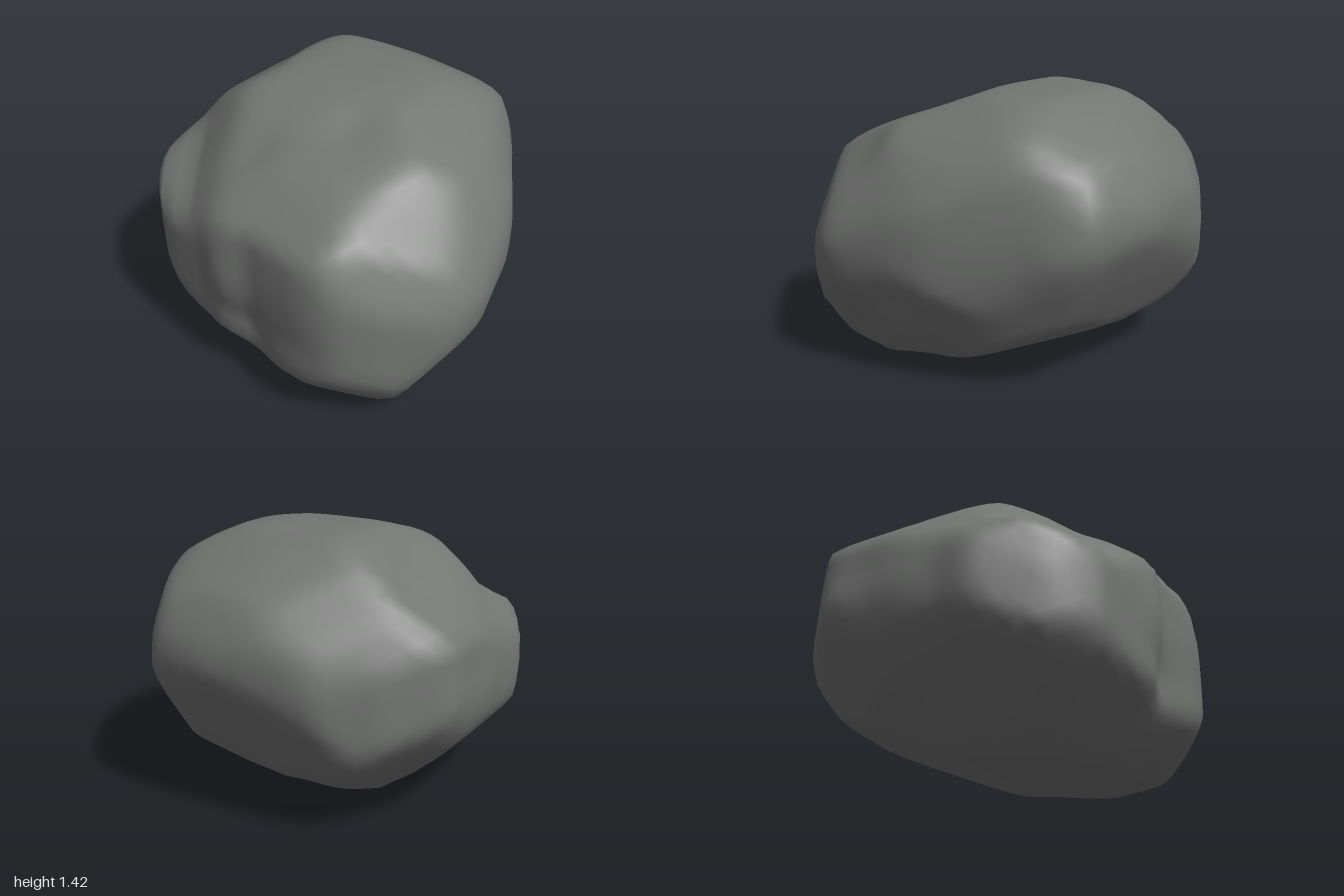
import * as THREE from 'three';
import { mergeVertices } from 'three/addons/utils/BufferGeometryUtils.js';

const CENTRE = new THREE.Vector3(0, 0.71, 0);

// A profile the stone is cut to, from a heading and elevation in degrees.
// Points are [right, up] pairs about the centre of the stone.
function profile(heading, elevation, points) {
  const h = THREE.MathUtils.degToRad(heading);
  const e = THREE.MathUtils.degToRad(elevation);
  const right = new THREE.Vector3(Math.cos(h), 0, -Math.sin(h));
  const up = new THREE.Vector3(-Math.sin(h) * Math.sin(e), Math.cos(e), -Math.cos(h) * Math.sin(e));
  return { right, up, points };
}

const PROFILES = [];

// Front
PROFILES.push(profile(0, 0, [
  [-0.1, -0.71], [0.12, -0.71], [0.4, -0.65], [0.7, -0.65], [0.78, -0.49], [0.96, -0.21], [1, -0.02], [0.93, 0.11],
  [0.84, 0.26], [0.71, 0.47], [0.58, 0.55], [0.32, 0.67], [0.1, 0.71], [-0.28, 0.71], [-0.4, 0.69], [-0.7, 0.47],
  [-0.97, 0.26], [-0.97, 0.12], [-1, -0.02], [-0.97, -0.12], [-0.92, -0.24], [-0.73, -0.48], [-0.5, -0.64], [-0.25, -0.69],
]));

// Side
PROFILES.push(profile(90, 0, [
  [0.94, 0.1], [0.92, 0.21], [0.79, 0.45], [0.6, 0.59], [0.43, 0.69], [0, 0.71], [-0.22, 0.64], [-0.42, 0.55],
  [-0.6, 0.47], [-0.88, 0.27], [-0.94, -0.02], [-0.9, -0.24], [-0.915, -0.38], [-0.89, -0.45], [-0.63, -0.69],
  [-0.23, -0.71], [0.02, -0.67], [0.15, -0.64], [0.48, -0.53], [0.6, -0.48], [0.77, -0.2],
]));

// Plan
PROFILES.push(profile(0, 90, [
  [1, -0.32], [0.95, -0.48], [0.87, -0.62], [0.78, -0.74], [0.57, -0.88], [0.4, -0.91], [0.05, -0.87], [-0.1, -0.93],
  [-0.25, -0.87], [-0.52, -0.83], [-0.8, -0.67], [-0.97, -0.36], [-0.94, -0.2], [-0.98, 0], [-0.97, 0.2], [-1, 0.41],
  [-0.78, 0.65], [-0.65, 0.72], [-0.5, 0.83], [-0.13, 0.91], [0.05, 0.94], [0.38, 0.9], [0.54, 0.78], [0.6, 0.62],
  [0.84, 0.24], [0.9, 0.05], [0.96, -0.17],
]));

// Front corner, from above
PROFILES.push(profile(35, 20, [
  [-0.04, 0.85], [0.31, 0.76], [0.61, 0.625], [0.76, 0.535], [0.85, 0.355], [0.88, 0.19], [0.84, -0.04], [0.805, -0.25],
  [0.67, -0.49], [0.55, -0.67], [0.4, -0.85], [0.21, -0.91], [-0.05, -0.84], [-0.26, -0.84], [-0.59, -0.64],
  [-0.83, -0.49], [-1, -0.31], [-1.02, -0.04], [-1.01, 0.2], [-0.8, 0.385], [-0.68, 0.55], [-0.38, 0.685], [-0.29, 0.76],
]));

// Back corner, from above
PROFILES.push(profile(215, 20, [
  [-0.88, -0.1], [-0.8, 0.31], [-0.715, 0.46], [-0.52, 0.61], [-0.37, 0.7], [0.08, 0.67], [0.505, 0.61], [0.79, 0.295],
  [1, 0.23], [1.02, 0.02], [0.985, -0.28], [0.505, -0.61], [0.295, -0.73], [-0.22, -0.67], [-0.67, -0.47],
]));

// Back corner, from below
PROFILES.push(profile(135, -20, [
  [0.16, 0.8], [-0.08, 0.77], [-0.58, 0.595], [-0.715, 0.445], [-0.91, 0.28], [-1.03, 0.02], [-1.045, -0.37],
  [-0.865, -0.61], [-0.415, -0.8], [-0.2, -0.82], [0.25, -0.775], [0.52, -0.595], [0.7, -0.535], [1.015, -0.19],
  [0.985, 0.115], [0.88, 0.325], [0.7, 0.535], [0.46, 0.715],
]));

// Local hollows and swellings: [x, y, z, radius, push]
const DENTS = [
  [0, 0.35, 0.85, 0.16, -0.05],
  [-0.2, 1.15, 0.55, 0.12, -0.05],
  [-0.65, 1.1, -0.33, 0.1, -0.04],
  [0.95, 0.4, 0, 0.15, -0.04],
  [0.55, 0.15, 0, 0.16, -0.04],
  [0.2, 1.3, 0.25, 0.15, -0.025],
];

// Distance from the centre to a profile's edge along a direction
function reach({ right, up, points }, direction) {
  const u = direction.dot(right);
  const v = direction.dot(up);
  let nearest = Infinity;
  points.forEach(([ax, ay], i) => {
    const [bx, by] = points[(i + 1) % points.length];
    const ex = bx - ax, ey = by - ay;
    const cross = u * ey - v * ex;
    if (Math.abs(cross) < 1e-9) return;
    const t = (ax * ey - ay * ex) / cross;
    const s = (ax * v - ay * u) / cross;
    if (t > 0 && s >= -1e-6 && s <= 1 + 1e-6) nearest = Math.min(nearest, t);
  });
  return nearest;
}

// The stone is the softened overlap of all profiles, then dented
function boulderGeometry() {
  const sphere = new THREE.IcosahedronGeometry(1, 15);
  sphere.deleteAttribute('normal');
  sphere.deleteAttribute('uv');
  const geometry = mergeVertices(sphere, 1e-4);
  const position = geometry.attributes.position;
  const direction = new THREE.Vector3();
  const point = new THREE.Vector3();
  const softness = 40;

  for (let i = 0; i < position.count; i++) {
    direction.fromBufferAttribute(position, i).normalize();
    let sum = 0;
    for (const p of PROFILES) sum += reach(p, direction) ** -softness;
    point.copy(CENTRE).addScaledVector(direction, (sum / 2) ** (-1 / softness));
    let push = 0;
    for (const [x, y, z, radius, amount] of DENTS) {
      const d = Math.hypot(point.x - x, point.y - y, point.z - z) / radius;
      push += amount * Math.exp(-d * d);
    }
    point.addScaledVector(direction, push);
    position.setXYZ(i, point.x, point.y, point.z);
  }

  // Rest the lowest point on the ground
  geometry.computeBoundingBox();
  geometry.translate(0, -geometry.boundingBox.min.y, 0);
  geometry.computeVertexNormals();
  return geometry;
}

export function createModel() {
  const stone = new THREE.MeshStandardMaterial({ color: 0x737573 });
  stone.name = 'grey stone';

  const boulder = new THREE.Mesh(boulderGeometry(), stone);
  boulder.name = 'boulder';

  const model = new THREE.Group();
  model.name = 'rock';
  model.add(boulder);
  return model;
}
